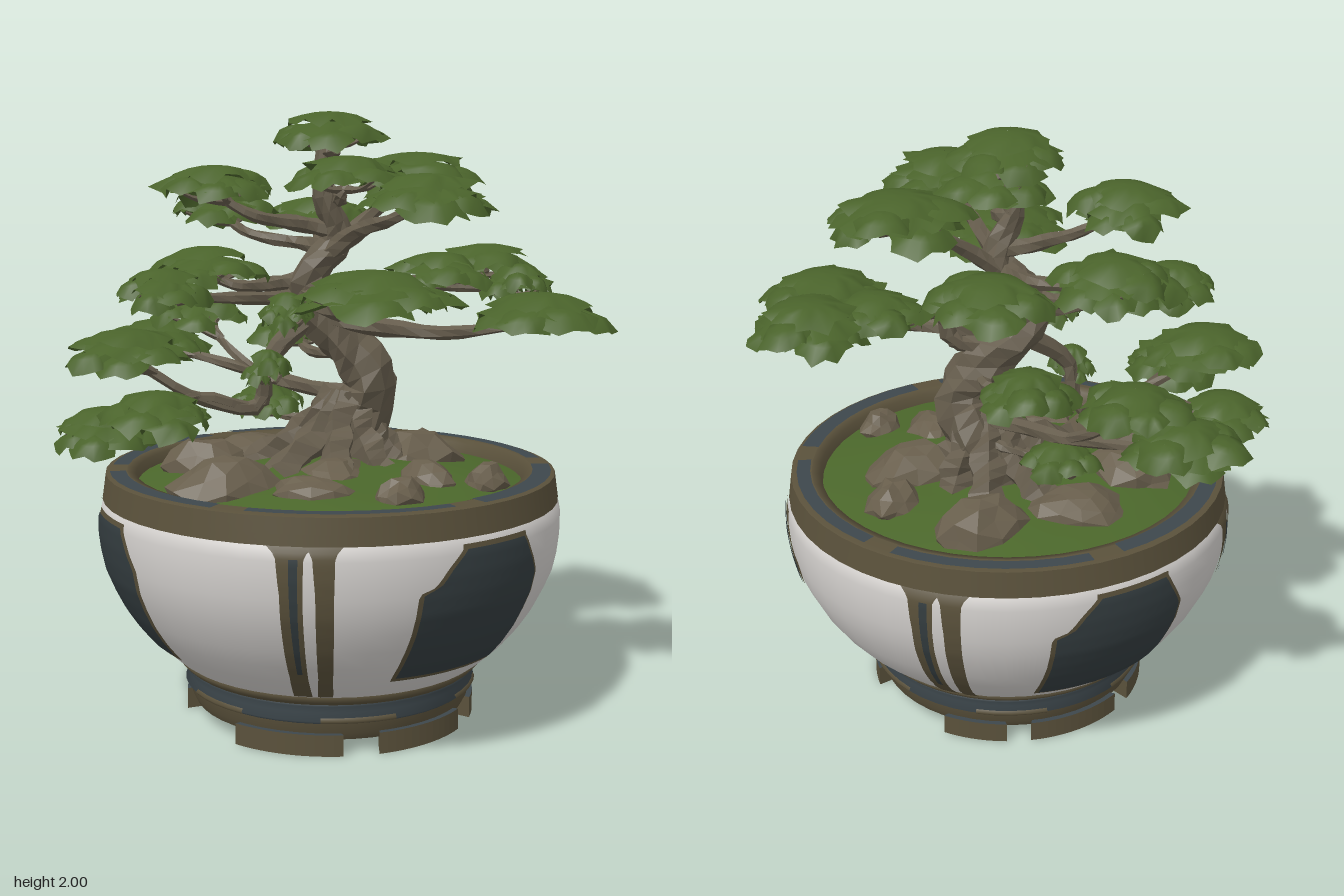
import * as THREE from 'three';
import { mergeGeometries, mergeVertices } from 'three/addons/utils/BufferGeometryUtils.js';

const mat = (name, color, side = THREE.FrontSide) => {
  const m = new THREE.MeshStandardMaterial({ color, side });
  m.name = name;
  return m;
};
const V = (x, y, z) => new THREE.Vector3(x, y, z);

export function createModel() {
  const M = {
    glaze: mat('white glaze', 0xd3d0cd),
    clay: mat('brown clay', 0x5a513b),
    slate: mat('dark slate', 0x343d40),
    blue: mat('blue grey', 0x3d474c),
    bark: mat('bark', 0x655c4c),
    rock: mat('rock', 0x685e4c),
    moss: mat('moss', 0x4b672b, THREE.DoubleSide),
    leaf: mat('foliage', 0x4a632b, THREE.DoubleSide),
  };
  let seed = 11;
  const rnd = (a = 0, b = 1) => {
    seed = (seed * 16807) % 2147483647;
    return a + (b - a) * (seed / 2147483647);
  };
  const model = new THREE.Group();
  const add = (parent, name, geo, material) => {
    const mesh = new THREE.Mesh(geo, material);
    mesh.name = name;
    parent.add(mesh);
    return mesh;
  };
  const flat = (geo) => {
    const g = geo.toNonIndexed();
    g.computeVertexNormals();
    return g;
  };

  // ---------- pot ----------
  const pot = new THREE.Group();
  pot.name = 'pot';
  pot.position.set(-0.015, 0, 0.07);
  model.add(pot);
  const wall = [[0.48, 0.18], [0.535, 0.22], [0.6, 0.28], [0.65, 0.34], [0.69, 0.4], [0.72, 0.46], [0.745, 0.52],
    [0.758, 0.58], [0.765, 0.64], [0.765, 0.7], [0.758, 0.735], [0.74, 0.755]];
  const wallRadius = (y) => {
    let i = 1;
    while (i < wall.length - 1 && wall[i][1] < y) i++;
    const [r0, y0] = wall[i - 1], [r1, y1] = wall[i];
    return r0 + ((r1 - r0) * (y - y0)) / (y1 - y0);
  };
  const lathe = (name, pts, material, start = 0, sweep = Math.PI * 2) =>
    add(pot, name, new THREE.LatheGeometry(pts.map((p) => new THREE.Vector2(...p)), Math.ceil(sweep * 7.6), start, sweep), material);
  lathe('bowlWall', wall, M.glaze);
  lathe('rimBand', [[0.757, 0.745], [0.752, 0.78], [0.745, 0.83]], M.clay);
  lathe('rimTop', [[0.745, 0.83], [0.725, 0.834], [0.675, 0.834]], M.clay);
  lathe('rimInner', [[0.675, 0.834], [0.645, 0.825], [0.635, 0.77]], M.clay);
  lathe('lowerBand', [[0.48, 0.165], [0.5, 0.18], [0.518, 0.2], [0.502, 0.206]], M.clay);
  lathe('waist', [[0.47, 0.1], [0.49, 0.115], [0.475, 0.14], [0.49, 0.165], [0.48, 0.175]], M.blue);
  lathe('footRing', [[0.455, 0.045], [0.468, 0.07], [0.475, 0.105]], M.clay);
  // worn paint: slate arcs on the rim, clay arcs on the waist
  for (let i = 0; i < 6; i++) {
    lathe('rimPaint', [[0.732 - 0.006 * (i % 2), 0.836], [0.672 + 0.008 * (i % 3), 0.837]], M.blue, i * 1.047, 0.9);
    lathe('waistWear', [[0.486, 0.108], [0.492, 0.117], [0.485, 0.126]], M.clay, i * 1.047 + 0.3, 0.5);
  }
  const base = add(pot, 'underside', new THREE.CircleGeometry(0.456, 48).rotateX(Math.PI / 2), M.slate);
  base.position.y = 0.045;

  // feet: short arcs of a ring, [angle, half width]
  for (const [a, w] of [[0, 0.36], [Math.PI, 0.36], [0.98, 0.38], [-0.98, 0.38], [2.38, 0.23], [-2.38, 0.23]]) {
    const s = new THREE.Shape();
    s.absarc(0, 0, 0.485, -w, w, false);
    s.absarc(0, 0, 0.41, w - 0.06, 0.06 - w, true);
    const g = new THREE.ExtrudeGeometry(s, { depth: 0.07, bevelEnabled: false, curveSegments: 6 });
    g.rotateX(-Math.PI / 2).rotateY(a - Math.PI / 2);
    add(pot, 'foot', g, [M.blue, M.clay]);
  }

  // painted patches that follow the wall; rows are [height, left angle, right angle]
  const patch = (name, mid, rows, grow, off, material) => {
    const g = new THREE.PlaneGeometry(1, 1, 10, 30);
    const p = g.attributes.position;
    const y0 = rows[0][0] - grow, y1 = rows[rows.length - 1][0] + grow;
    for (let i = 0; i < p.count; i++) {
      const y = y0 + (p.getY(i) + 0.5) * (y1 - y0);
      let k = 1;
      while (k < rows.length - 1 && rows[k][0] < y) k++;
      const t = THREE.MathUtils.clamp((y - rows[k - 1][0]) / (rows[k][0] - rows[k - 1][0]), 0, 1);
      const l = THREE.MathUtils.lerp(rows[k - 1][1], rows[k][1], t) - grow * 1.4;
      const r = THREE.MathUtils.lerp(rows[k - 1][2], rows[k][2], t) + grow * 1.4;
      const a = mid + l + (p.getX(i) + 0.5) * (r - l);
      const R = wallRadius(y) + off;
      p.setXYZ(i, R * Math.sin(a), y, R * Math.cos(a));
    }
    g.computeVertexNormals();
    add(pot, name, g, material);
  };
  const panel = [[0.29, -0.36, 0.28], [0.45, -0.33, 0.28], [0.59, -0.32, 0.285], [0.61, -0.25, 0.27], [0.66, -0.2, 0.23], [0.715, -0.13, 0.19]];
  const mirrored = panel.map(([y, l, r]) => [y, -r * 0.95, -l * 0.93]);
  for (const [a, rows] of [[0, panel], [1.14, mirrored], [3.14, panel], [-1.89, panel]]) {
    patch('panelBorder', a, rows, 0.014, 0.004, M.clay);
    patch('panel', a, rows, 0, 0.008, M.slate);
  }
  const strip = [[0.21, -0.06, 0.05], [0.3, -0.045, 0.045], [0.6, -0.045, 0.045], [0.72, -0.06, 0.05], [0.745, -0.1, 0.09]];
  for (const a of [-0.77, 2.33, -2.32]) {
    patch('seam', a - 0.07, strip, 0, 0.005, M.clay);
    patch('seamSide', a + 0.06, strip.map(([y, l, r]) => [y, l * 0.8, r * 0.8]), 0, 0.005, M.clay);
    patch('seamCore', a - 0.06, [[0.32, -0.012, 0.012], [0.71, -0.018, 0.018]], 0, 0.009, M.slate);
  }

  // ---------- ground ----------
  const ground = new THREE.RingGeometry(0.001, 0.642, 28, 7).rotateX(-Math.PI / 2);
  const gp = ground.attributes.position;
  for (let i = 0; i < gp.count; i++) {
    const x = gp.getX(i), z = gp.getZ(i), q = 1 - (x * x + z * z) / 0.416;
    gp.setY(i, 0.79 + 0.07 * q + 0.014 * q * Math.sin(9 * x + 2) * Math.cos(8 * z));
  }
  ground.computeVertexNormals();
  add(pot, 'mossGround', ground, M.moss);

  // broad low rocks: x, z, width, height
  for (const [x, z, w, h] of [[-0.47, 0.1, 0.17, 0.11], [-0.3, 0.33, 0.13, 0.05], [0.3, 0.16, 0.16, 0.11], [0.1, 0.42, 0.11, 0.07],
    [0.24, 0.55, 0.08, 0.06], [-0.12, 0.54, 0.08, 0.06], [0.45, 0.02, 0.11, 0.07], [0.28, -0.27, 0.16, 0.1], [-0.05, -0.33, 0.16, 0.07],
    [-0.33, -0.2, 0.15, 0.1], [-0.1, 0.2, 0.15, 0.07]]) {
    const g = mergeVertices(new THREE.IcosahedronGeometry(1, 1).deleteAttribute('normal').deleteAttribute('uv'), 0.001);
    const p = g.attributes.position;
    for (let i = 0; i < p.count; i++) {
      const k = rnd(0.82, 1.12), spread = 1.05 - 0.3 * p.getY(i);
      p.setXYZ(i, p.getX(i) * k * w * spread, Math.min(p.getY(i) * k, 0.9) * h, p.getZ(i) * k * w * 0.75 * spread);
    }
    const rock = add(model, 'rock', flat(g), M.rock);
    rock.position.set(x, 0.83, z);
    rock.rotation.y = rnd(0, 6);
  }

  // ---------- trunk, roots and branches ----------
  const limb = (name, pts, r0, r1, sides = 6, knob = 0.12) => {
    const curve = new THREE.CatmullRomCurve3(pts);
    const n = Math.max(4, pts.length * 3);
    const g = new THREE.TubeGeometry(curve, n, 1, sides, false);
    const p = g.attributes.position, c = V(), v = V();
    for (let i = 0; i < p.count; i++) {
      const ring = Math.floor(i / (sides + 1)), k = i % (sides + 1) % sides, t = ring / n;
      curve.getPointAt(t, c);
      const r = THREE.MathUtils.lerp(r0, r1, Math.pow(t, 0.8)) * (1 + knob * Math.sin(ring * 1.7 + k * 2.6));
      v.fromBufferAttribute(p, i).sub(c).multiplyScalar(r).add(c);
      p.setXYZ(i, v.x, v.y, v.z);
    }
    add(model, name, flat(g), M.bark);
    return curve;
  };
  const trunk = limb('trunk', [V(0.06, 0.8, -0.02), V(0.11, 0.95, 0.02), V(0.14, 1.1, 0.1), V(0.07, 1.24, 0.05), V(-0.04, 1.36, -0.01),
    V(-0.06, 1.46, 0.01), V(0.03, 1.59, 0.06), V(-0.03, 1.74, 0.05), V(-0.02, 1.92, 0.06)], 0.13, 0.025, 8, 0.13);
  for (const [a, len] of [[-1.3, 0.36], [-0.7, 0.28], [0, 0.22], [0.8, 0.2], [1.7, 0.18], [2.5, 0.23], [3.3, 0.26], [4.2, 0.3]]) {
    const s = Math.sin(a), c = Math.cos(a);
    limb('root', [V(0.08 + s * 0.03, 1.06, 0.04 + c * 0.03), V(0.07 + s * 0.12, 0.94, 0.02 + c * 0.11),
      V(0.06 + s * len, 0.82, 0.02 + c * len)], 0.055, 0.06, 5, 0.2);
  }

  // one jagged sheet of leaves: flat on top, saw-toothed and drooping at the edge
  const leafSheet = (r, h, n) => {
    const g = new THREE.RingGeometry(0.001, r, n, 3).rotateX(-Math.PI / 2);
    const p = g.attributes.position;
    const jag = Array.from({ length: n }, (_, k) => rnd(0.85, 1.05) + (k % 2) * 0.14), sag = jag.map(() => rnd(-0.005, 0.035));
    for (let i = 0; i < p.count; i++) {
      const ring = Math.floor(i / (n + 1)), k = i % (n + 1) % n, t = ring / 3;
      const s = ring === 3 ? jag[k] : 1;
      p.setXYZ(i, p.getX(i) * s, h * (1 - t * t) - (ring === 3 ? sag[k] : 0), p.getZ(i) * s);
    }
    g.computeVertexNormals();
    return g;
  };
  const foliagePad = (x, y, z, r) => {
    const parts = [leafSheet(r * 0.66, 0.025, 20).translate(0, 0.032, 0), leafSheet(r * 0.8, 0.03, 24).translate(0, -0.005, 0)];
    const turn = rnd(0, 6);
    for (let i = 0; i < 7; i++) {
      const a = turn + (i * Math.PI * 2) / 7, d = r * rnd(0.52, 0.66);
      const g = leafSheet(r * rnd(0.38, 0.48), 0.025, 14);
      g.rotateX(rnd(0.1, 0.3)).rotateY(a).translate(Math.sin(a) * d, rnd(-0.045, 0.015), Math.cos(a) * d);
      parts.push(g);
    }
    add(model, 'foliagePad', mergeGeometries(parts), M.leaf).position.set(x, y, z);
  };

  // pads: centre x, y, z, radius, place on the trunk, optional bends of the branch
  const low = [V(-0.2, 1.2, -0.02), V(-0.22, 1.04, -0.05), V(-0.42, 1.08, -0.12)];
  const back = [V(0.05, 1.07, -0.15), V(0, 1.1, -0.35)];
  const right = [V(0.18, 1.32, 0.09), V(0.22, 1.42, 0.1), V(0.42, 1.41, 0.11)];
  const pads = [
    [-0.02, 1.94, 0.07, 0.2, 0.97], [-0.02, 1.8, 0.16, 0.2, 0.85], [-0.34, 1.77, -0.12, 0.19, 0.75],
    [0.4, 1.81, 0.03, 0.23, 0.62, [V(0.12, 1.62, 0.05), V(0.25, 1.7, 0.04)]],
    [0.3, 1.65, -0.38, 0.2, 0.66], [-0.06, 1.68, -0.47, 0.18, 0.7],
    [-0.05, 1.75, 0.56, 0.21, 0.68, [V(0, 1.62, 0.2), V(-0.03, 1.66, 0.38)]],
    [0.68, 1.49, 0.1, 0.2, 0.45, right], [0.45, 1.47, 0.1, 0.18, 0.45, right.slice(0, 2)], [0.66, 1.43, 0.27, 0.13, 0.45, right],
    [0.4, 1.37, 0.61, 0.23, 0.5, [V(0.1, 1.3, 0.22), V(0.25, 1.29, 0.4)]],
    [-0.35, 1.48, 0.66, 0.25, 0.56, [V(-0.1, 1.37, 0.2), V(-0.22, 1.4, 0.42)]],
    [-0.35, 1.51, -0.15, 0.19, 0.6], [-0.56, 1.45, -0.1, 0.16, 0.55, [V(-0.25, 1.4, -0.03)]],
    [-0.61, 1.25, -0.23, 0.21, 0.5, low], [-0.69, 1.09, 0.05, 0.18, 0.5, low], [-0.68, 1, -0.26, 0.18, 0.5, low],
    [-0.17, 1.21, -0.73, 0.19, 0.22, back], [-0.06, 1.31, -0.62, 0.18, 0.22, back], [0.1, 1.26, -0.26, 0.16, 0.35],
    [0, 1.01, -0.3, 0.13, 0.2], [-0.22, 1.37, 0.1, 0.09, 0.55], [-0.24, 1.18, 0.02, 0.08, 0.5, [V(-0.17, 1.23, 0)]],
  ];
  for (const [x, y, z, r, t, bends] of pads) {
    const start = trunk.getPointAt(t), end = V(x, y - 0.035, z);
    const mid = bends || [start.clone().lerp(end, 0.35).add(V(0.03, -0.02, 0)), start.clone().lerp(end, 0.7).add(V(-0.02, -0.03, 0.02))];
    limb('branch', [start, ...mid, end], r * 0.18, 0.013, 6);
    // twigs spread below the leaves
    const fork = mid[mid.length - 1].clone().lerp(end, 0.6);
    for (let i = 0; i < 4; i++) {
      const a = i * 1.57 + x * 5;
      limb('twig', [fork, V(x + Math.sin(a) * r * 0.35, y - 0.05, z + Math.cos(a) * r * 0.35),
        V(x + Math.sin(a) * r * 0.75, y - 0.02, z + Math.cos(a) * r * 0.75)], 0.014, 0.005, 4);
    }
    foliagePad(x, y, z, r);
  }
  return model;
}
